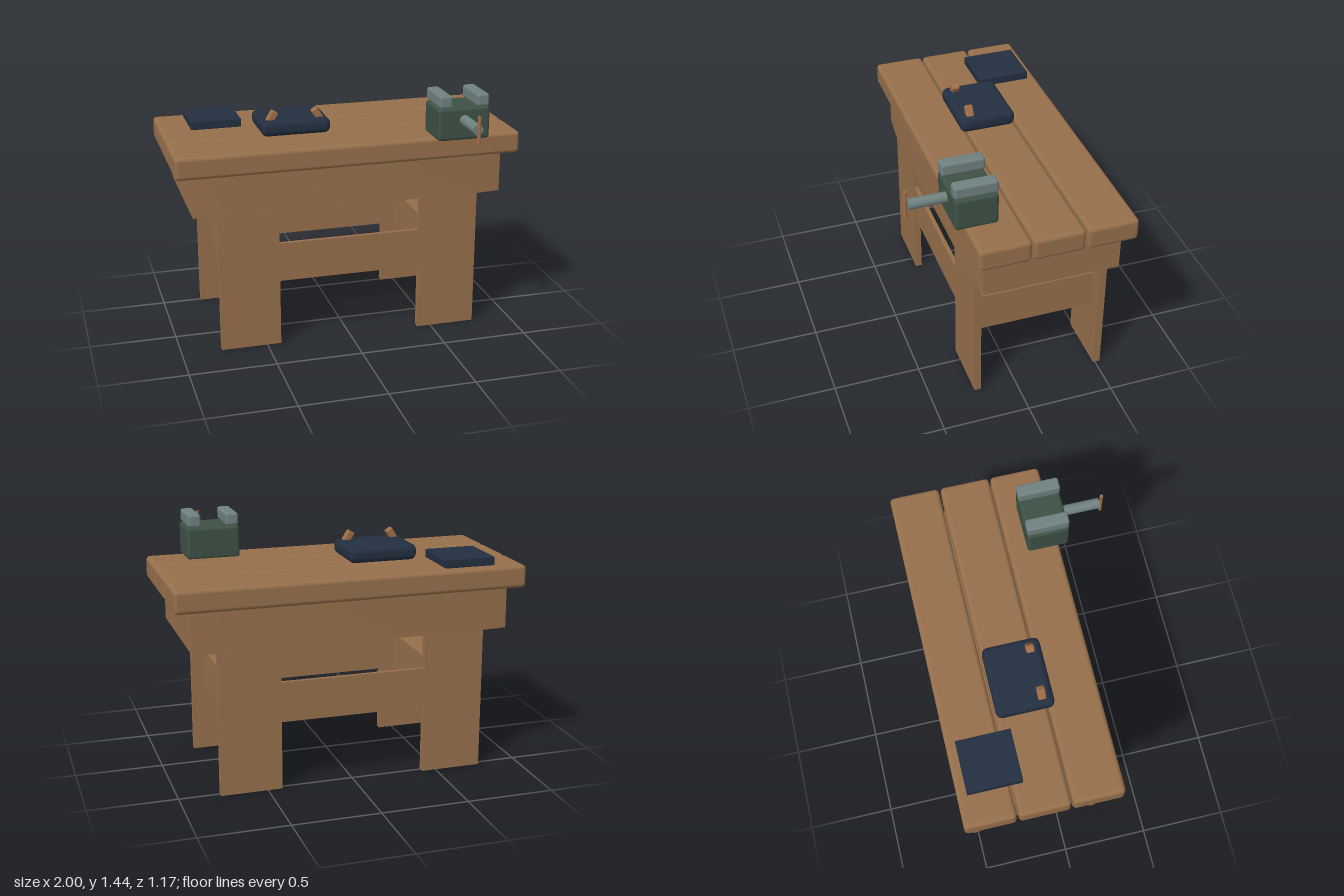
import * as THREE from 'three';
import { toCreasedNormals } from 'three/addons/utils/BufferGeometryUtils.js';
import { RoundedBoxGeometry } from 'three/addons/geometries/RoundedBoxGeometry.js';

const material = (name, color) => {
  const m = new THREE.MeshStandardMaterial({ color });
  m.name = name;
  return m;
};

export function createModel() {
  const wood = material('wood', 0x966f4b);
  const handleWood = material('handle wood', 0xa06e48);
  const navy = material('dark blue', 0x232f40);
  const green = material('dark green', 0x3d5145);
  const steel = material('steel grey', 0x6f8180);

  const bench = new THREE.Group();
  bench.name = 'workbench';

  const add = (parent, name, geometry, mat, x = 0, y = 0, z = 0) => {
    const mesh = new THREE.Mesh(geometry, mat);
    mesh.name = name;
    mesh.position.set(x, y, z);
    parent.add(mesh);
    return mesh;
  };
  // Box given by its limits on each axis, rounded when a radius is given
  const box = (parent, name, mat, [x0, x1], [y0, y1], [z0, z1], radius = 0) => {
    const size = [x1 - x0, y1 - y0, z1 - z0];
    const geometry = radius
      ? new RoundedBoxGeometry(...size, 3, radius)
      : new THREE.BoxGeometry(...size);
    return add(parent, name, geometry, mat, (x0 + x1) / 2, (y0 + y1) / 2, (z0 + z1) / 2);
  };

  // Table top of three planks
  for (const z of [[0.01, 0.3], [-0.285, 0.003], [-0.583, -0.295]]) {
    box(bench, 'topPlank', wood, [-1, 1], [1.06, 1.19], z, 0.024);
  }

  // Apron with slightly tapered ends
  const outline = new THREE.Shape([
    [-0.905, 0.245], [-0.735, 0.263], [0.735, 0.263], [0.905, 0.245],
    [0.905, -0.53], [0.735, -0.546], [-0.735, -0.546], [-0.905, -0.53],
  ].map(([x, z]) => new THREE.Vector2(x, -z)));
  const apron = new THREE.ExtrudeGeometry(outline, { depth: 0.242, bevelEnabled: false });
  apron.rotateX(-Math.PI / 2);
  add(bench, 'apron', toCreasedNormals(apron, 0.5), wood, 0, 0.822, 0);

  // Board legs and side stretchers
  for (const side of [-1, 1]) {
    const span = (a, b) => (side > 0 ? [a, b] : [-b, -a]);
    box(bench, 'frontLeg', wood, span(0.418, 0.768), [0, 0.83], [0.207, 0.246]);
    box(bench, 'backLeg', wood, span(0.418, 0.768), [0, 0.83], [-0.53, -0.488]);
    box(bench, 'sideStretcher', wood, span(0.5, 0.69), [0.39, 0.62], [-0.488, 0.207]);
  }
  // Long stretchers
  for (const z of [0.226, -0.509]) {
    box(bench, 'longStretcher', wood, [-0.418, 0.418], [0.39, 0.62], [z - 0.012, z + 0.012]);
  }

  // Vise
  const vise = new THREE.Group();
  vise.name = 'vise';
  bench.add(vise);
  box(vise, 'viseBody', green, [0.48, 0.787], [1.182, 1.37], [0.117, 0.357], 0.02);
  for (const x of [0.487, 0.705]) {
    box(vise, 'viseJaw', steel, [x, x + 0.073], [1.372, 1.444], [0.117, 0.357], 0.014);
  }
  const screw = new THREE.CylinderGeometry(0.03, 0.03, 0.24, 16).rotateX(Math.PI / 2);
  add(vise, 'viseScrew', screw, steel, 0.633, 1.3, 0.445);
  add(vise, 'viseHandle', new THREE.CylinderGeometry(0.01, 0.01, 0.16, 10), handleWood, 0.633, 1.3, 0.577);

  // Tool roll with two leaning handles
  const roll = new THREE.Group();
  roll.name = 'toolRoll';
  bench.add(roll);
  box(roll, 'rollBody', navy, [-0.46, -0.058], [1.19, 1.28], [-0.28, 0.045], 0.035);
  for (const side of [-1, 1]) {
    const handle = add(roll, 'toolHandle', new RoundedBoxGeometry(0.042, 0.09, 0.045, 2, 0.008),
      handleWood, -0.26 + side * 0.137, 1.287, -0.02);
    handle.rotation.z = side * 0.55;
  }

  // Flat mat at the back
  box(bench, 'flatMat', navy, [-0.825, -0.53], [1.19, 1.238], [-0.528, -0.222], 0.004);

  return bench;
}
